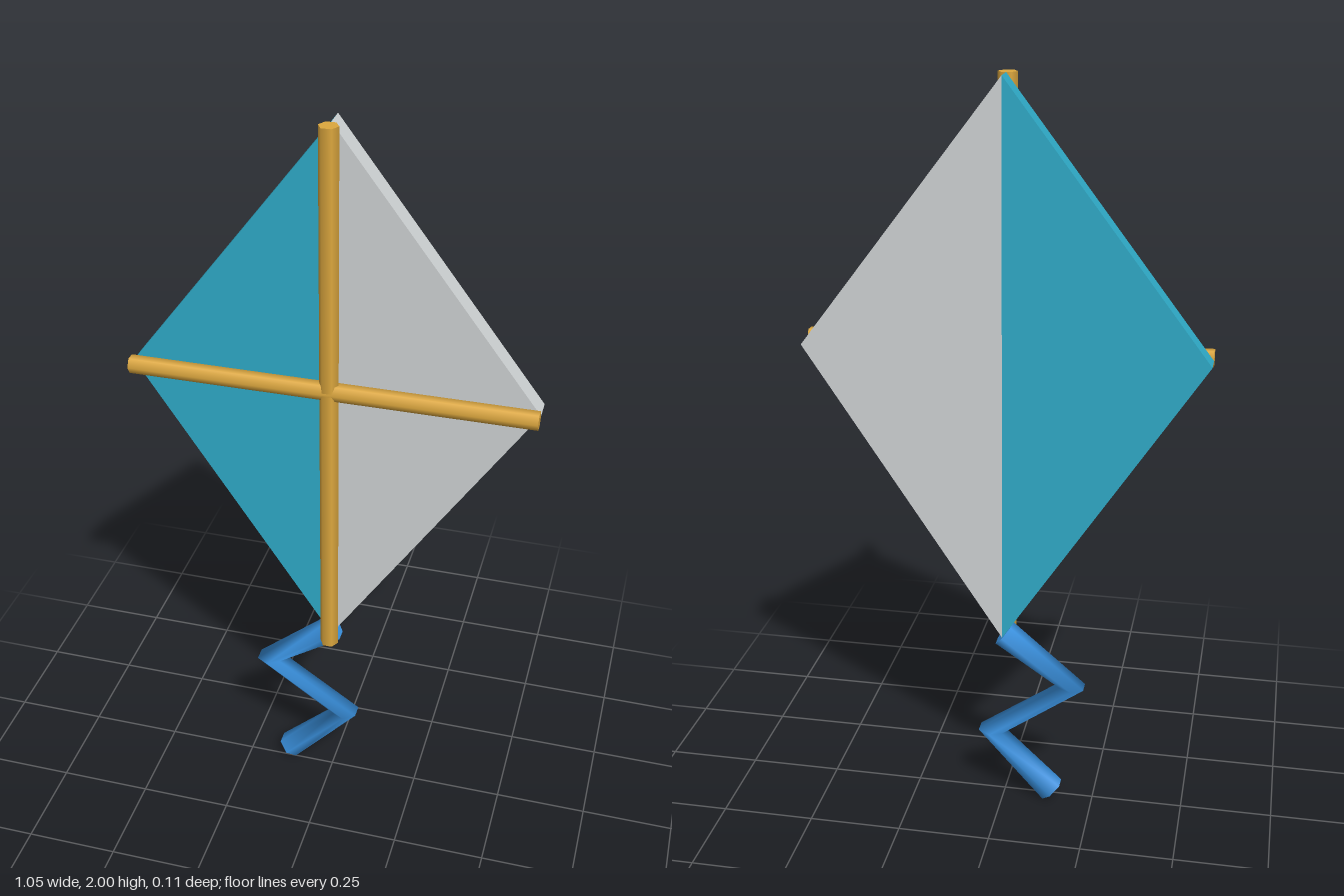
import * as THREE from 'three';

const material = (name, color) => Object.assign(new THREE.MeshStandardMaterial({ color }), { name });

// Swept tube with mitred joints along a polyline in the xy plane, capped at both ends
function zigzagTube(path, radius, z, sides) {
  const positions = [], index = [];
  const points = path.map(([x, y]) => new THREE.Vector3(x, y, z));
  const direction = (i) => points[i + 1].clone().sub(points[i]).normalize();
  const last = points.length - 1;

  const addRing = (i) => {
    const start = positions.length / 3;
    const t = new THREE.Vector3();
    if (i > 0) t.add(direction(i - 1));
    if (i < last) t.add(direction(i));
    t.normalize();
    for (let j = 0; j < sides; j++) {
      const a = Math.PI / 2 + (j / sides) * Math.PI * 2;
      const c = Math.cos(a) * radius;
      positions.push(points[i].x - t.y * c, points[i].y + t.x * c, z + Math.sin(a) * radius);
    }
    return start;
  };

  // Side walls
  const rings = points.map((_, i) => addRing(i));
  for (let i = 0; i < last; i++) {
    for (let j = 0; j < sides; j++) {
      const k = (j + 1) % sides;
      const a = rings[i] + j, b = rings[i] + k, c = rings[i + 1] + j, d = rings[i + 1] + k;
      index.push(a, b, c, b, d, c);
    }
  }
  // End caps with their own vertices, so the rims stay sharp
  const first = addRing(0), end = addRing(last);
  for (let j = 1; j < sides - 1; j++) {
    index.push(first, first + j + 1, first + j, end, end + j, end + j + 1);
  }
  const geometry = new THREE.BufferGeometry();
  geometry.setAttribute('position', new THREE.Float32BufferAttribute(positions, 3));
  geometry.setIndex(index);
  geometry.computeVertexNormals();
  return geometry;
}

export function createModel() {
  const kite = new THREE.Group();
  kite.name = 'kite';
  const wood = material('golden wood', 0xdca73e);
  const teal = material('teal cloth', 0x2fabc8);
  const grey = material('pale grey cloth', 0xcfd3d4);
  const blue = material('blue ribbon', 0x3a92e0);

  const add = (name, geometry, mat) => {
    const mesh = new THREE.Mesh(geometry, mat);
    mesh.name = name;
    kite.add(mesh);
    return mesh;
  };

  // Sail: two thick triangular halves
  for (const [name, side, mat] of [['leftSail', 1, grey], ['rightSail', -1, teal]]) {
    const shape = new THREE.Shape([
      new THREE.Vector2(0, 0.51),
      new THREE.Vector2(side * 0.527, 1.31),
      new THREE.Vector2(0, 2.0),
    ]);
    const sail = new THREE.ExtrudeGeometry(shape, { depth: 0.058, bevelEnabled: false });
    add(name, sail, mat).position.z = -0.049;
  }

  // Crossed six-sided sticks on the front
  const spine = add('spineStick', new THREE.CylinderGeometry(0.025, 0.025, 1.5, 6), wood);
  spine.rotation.y = Math.PI / 6;
  spine.position.set(0, 1.25, 0.032);
  const cross = add('crossStick', new THREE.CylinderGeometry(0.024, 0.024, 1.054, 6), wood);
  cross.rotation.z = Math.PI / 2;
  cross.position.set(0, 1.31, 0.032);

  // Zigzag tail
  const path = [[0, 0.51], [-0.19, 0.363], [0.036, 0.204], [-0.137, 0.024]];
  add('tail', zigzagTube(path, 0.038, -0.018, 6), blue);

  return kite;
}
